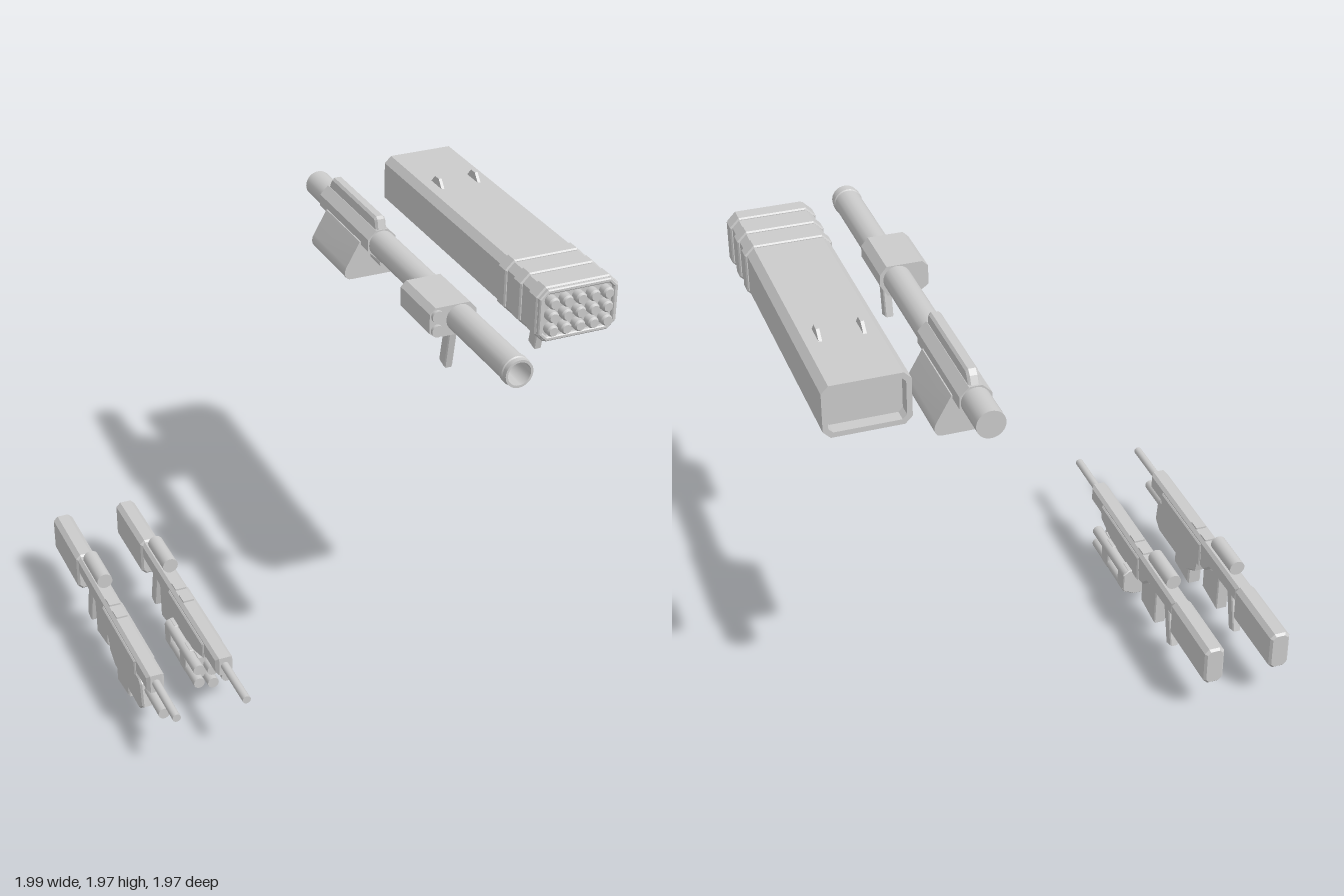
import * as THREE from 'three';
import { toCreasedNormals } from 'three/addons/utils/BufferGeometryUtils.js';

const material = new THREE.MeshStandardMaterial({ color: 0xcccccc });
const doubleMaterial = new THREE.MeshStandardMaterial({ color: 0xcccccc, side: THREE.DoubleSide });

function add(parent, name, geometry, mat = material) {
  const mesh = new THREE.Mesh(geometry, mat);
  mesh.name = name;
  parent.add(mesh);
  return mesh;
}

function toShape(points) {
  return points instanceof THREE.Shape ? points : new THREE.Shape(points.map(([a, b]) => new THREE.Vector2(a, b)));
}

function extrude(points, depth, bevel) {
  return new THREE.ExtrudeGeometry(toShape(points), {
    depth: depth - 2 * bevel, bevelEnabled: bevel > 0, bevelThickness: bevel,
    bevelSize: bevel, bevelOffset: -bevel, bevelSegments: 1, curveSegments: 8,
  }).translate(0, 0, bevel);
}

// Cross-section in (x, y) running from z0 up to z1
function section(parent, name, points, z0, z1, bevel = 0) {
  const g = extrude(points, z1 - z0, bevel).translate(0, 0, z0);
  return add(parent, name, toCreasedNormals(g, 0.5));
}

// Side outline in (z, y), centred on x with the given width
function side(parent, name, points, width, bevel = 0, x = 0) {
  const g = extrude(points, width, bevel).translate(0, 0, -width / 2).rotateY(-Math.PI / 2);
  return add(parent, name, g.translate(x, 0, 0));
}

// Cylinder lying along z
function rod(parent, name, x, y, z0, z1, r, sides = 20) {
  const g = new THREE.CylinderGeometry(r, r, z1 - z0, sides).rotateX(Math.PI / 2);
  return add(parent, name, g.translate(x, y, (z0 + z1) / 2));
}

// Rectangle with cut corners
function cutRect(x, y, w, h, c) {
  const a = w / 2, b = h / 2;
  return [[-a + c, -b], [a - c, -b], [a, -b + c], [a, b - c], [a - c, b], [-a + c, b], [-a, b - c], [-a, -b + c]]
    .map(([px, py]) => [x + px, y + py]);
}

function frame(x, y, w, h, c, wall) {
  const shape = toShape(cutRect(x, y, w, h, c));
  const hole = cutRect(x, y, w - 2 * wall, h - 2 * wall, c * 0.6);
  shape.holes.push(new THREE.Path(hole.map(([a, b]) => new THREE.Vector2(a, b))));
  return shape;
}

const launcherGrip = [[0.425, 1.72], [0.37, 1.72], [0.33, 1.515], [0.385, 1.5]];

function tubeLauncher() {
  const group = new THREE.Group();
  group.name = 'tubeLauncher';
  group.position.x = 0.395;
  const cy = 1.772;

  // Long tube with an open muzzle and a closed rear
  const profile = [[0, -0.985], [0.06, -0.985], [0.06, 0.93], [0.064, 0.935], [0.064, 0.955], [0.06, 0.96],
    [0.06, 0.983], [0.05, 0.983], [0.05, 0.8], [0, 0.8]].map(([r, z]) => new THREE.Vector2(r, z));
  const tube = toCreasedNormals(new THREE.LatheGeometry(profile, 32).rotateX(Math.PI / 2), 0.5);
  add(group, 'tube', tube.translate(0, cy, 0), doubleMaterial);

  // Aiming unit beside the tube
  section(group, 'aimingHousing', [[-0.11, 1.835], [-0.135, 1.81], [-0.135, 1.725], [-0.11, 1.705], [-0.07, 1.7],
    [0.045, 1.7], [0.075, 1.75], [0.075, 1.8], [0.045, 1.835]].reverse(), 0.195, 0.47);
  for (const y of [1.8, 1.735]) rod(group, 'lens', -0.103, y, 0.45, 0.485, 0.026);

  // Rear housing, sight rail and rounded wedge pack
  section(group, 'rearHousing', cutRect(0, cy, 0.13, 0.13, 0.038), -0.81, -0.285);
  const rail = side(group, 'sightRail', [[-0.285, 1.82], [-0.3, 1.88], [-0.315, 1.89], [-0.765, 1.89],
    [-0.785, 1.87], [-0.81, 1.82]], 0.05, 0.01);
  rail.position.x = 0;
  const pack = new THREE.Shape();
  pack.moveTo(-0.112, 1.588);
  pack.lineTo(0.112, 1.588);
  pack.bezierCurveTo(0.137, 1.588, 0.15, 1.62, 0.132, 1.65);
  pack.lineTo(0.07, 1.76);
  pack.lineTo(-0.07, 1.76);
  pack.lineTo(-0.132, 1.65);
  pack.bezierCurveTo(-0.15, 1.62, -0.137, 1.588, -0.112, 1.588);
  section(group, 'wedgePack', pack, -0.727, -0.36);
  rod(group, 'lowerPin', 0, 1.69, -0.82, -0.26, 0.02);

  side(group, 'grip', launcherGrip, 0.037, 0.005);
  return group;
}

function missilePod() {
  const group = new THREE.Group();
  group.name = 'missilePod';
  group.position.x = 0.812;
  const cy = 1.826;

  // Body with a recessed rear and banded front
  section(group, 'body', cutRect(0, cy, 0.35, 0.226, 0.03), -0.73, 0.66);
  section(group, 'rearFrame', frame(0, cy, 0.35, 0.226, 0.03, 0.022), -0.785, -0.73);
  for (const [z0, z1] of [[0.345, 0.41], [0.475, 0.54]]) {
    section(group, 'band', cutRect(0, cy, 0.37, 0.244, 0.04), z0, z1, 0.006);
  }
  section(group, 'frontBand', cutRect(0, cy, 0.37, 0.244, 0.04), 0.605, 0.675, 0.006);
  section(group, 'frontFrame', frame(0, cy, 0.356, 0.23, 0.036, 0.02), 0.67, 0.693, 0.005);

  // Rocket grid
  for (let i = -2; i <= 2; i++) {
    for (let j = -1; j <= 1; j++) {
      const g = new THREE.CylinderGeometry(0.019, 0.025, 0.01, 16).rotateX(Math.PI / 2);
      add(group, 'rocketTip', g.translate(i * 0.0615, cy + j * 0.061, 0.715));
      rod(group, 'rocket', i * 0.0615, cy + j * 0.061, 0.66, 0.71, 0.025, 16);
    }
  }

  // Sights, grip and lower rod
  for (const x of [-0.09, 0.086]) {
    side(group, 'sight', [[-0.36, 1.935], [-0.395, 1.975], [-0.43, 1.975], [-0.47, 1.935]], 0.014, 0, x);
  }
  side(group, 'grip', launcherGrip, 0.037, 0.005);
  rod(group, 'lowerRod', 0, 1.606, -0.355, 0.02, 0.02);
  rod(group, 'rodCollar', 0, 1.606, -0.355, -0.165, 0.022);
  return group;
}

function rifle(name, x) {
  const group = new THREE.Group();
  group.name = name;
  group.position.x = x;

  // Receiver, side panel and stock
  side(group, 'receiver', [[0.43, 0.345], [0.43, 0.258], [0.31, 0.258], [0.25, 0.235], [0.16, 0.215], [-0.17, 0.195],
    [-0.2, 0.2], [-0.26, 0.252], [-0.54, 0.262], [-0.54, 0.345]], 0.078, 0.014);
  side(group, 'sidePanel', [[0.28, 0.325], [0.28, 0.252], [0.16, 0.212], [-0.16, 0.2], [-0.16, 0.325]], 0.094, 0.006);
  section(group, 'stock', cutRect(0, 0.262, 0.09, 0.182, 0.02), -0.905, -0.535, 0.01);
  for (const z of [-0.043, -0.143]) {
    add(group, 'topLug', new THREE.BoxGeometry(0.05, 0.02, 0.055).translate(0, 0.343, z));
  }

  // Barrel, scope, magazine and grip
  rod(group, 'barrel', 0, 0.304, 0.4, 0.685, 0.018);
  rod(group, 'scope', 0, 0.389, -0.455, -0.25, 0.035, 24);
  add(group, 'scopeMount', new THREE.BoxGeometry(0.02, 0.03, 0.1).translate(0, 0.345, -0.35));
  side(group, 'magazine', [[-0.175, 0.24], [-0.175, 0.095], [-0.33, 0.073], [-0.335, 0.26]], 0.055, 0.005);
  side(group, 'grip', [[-0.4, 0.27], [-0.45, 0.27], [-0.5, 0.065], [-0.452, 0.05]], 0.038, 0.005);
  return group;
}

// Rifle with a single lower barrel and its own magazine
function singleRifle() {
  const group = rifle('singleBarrelRifle', -0.949);
  side(group, 'lowerBody', [[0.31, 0.262], [0.335, 0.24], [0.352, 0.13], [0.3, 0.088], [-0.03, 0.088],
    [-0.1, 0.13], [-0.12, 0.22]], 0.082, 0.008);
  rod(group, 'lowerBarrel', 0, 0.208, 0.3, 0.52, 0.025);
  side(group, 'lowerMagazine', [[0.125, 0.1], [0.13, 0.027], [-0.03, 0.007], [-0.035, 0.1]], 0.066, 0.007);
  return group;
}

// Rifle with a cluster of short tubes under the receiver
function clusterRifle() {
  const group = rifle('clusterRifle', -0.641);
  const spots = [[-0.064, 0.19], [0.064, 0.19], [0, 0.172], [-0.064, 0.12], [0.064, 0.12], [0, 0.103]];
  for (const [x, y] of spots) rod(group, 'clusterTube', x, y, -0.1, 0.275, 0.025, 16);
  const clamp = [[-0.035, 0.08], [0.035, 0.08], [0.088, 0.108], [0.088, 0.195], [0.062, 0.217], [-0.062, 0.217],
    [-0.088, 0.195], [-0.088, 0.108]];
  for (const z of [-0.105, 0.09]) section(group, 'clamp', clamp, z, z + 0.073, 0.004);
  add(group, 'clusterCore', new THREE.BoxGeometry(0.09, 0.1, 0.3).translate(0, 0.16, 0.07));
  return group;
}

export function createModel() {
  const model = new THREE.Group();
  model.name = 'weaponSet';
  model.add(tubeLauncher(), missilePod(), singleRifle(), clusterRifle());
  return model;
}
